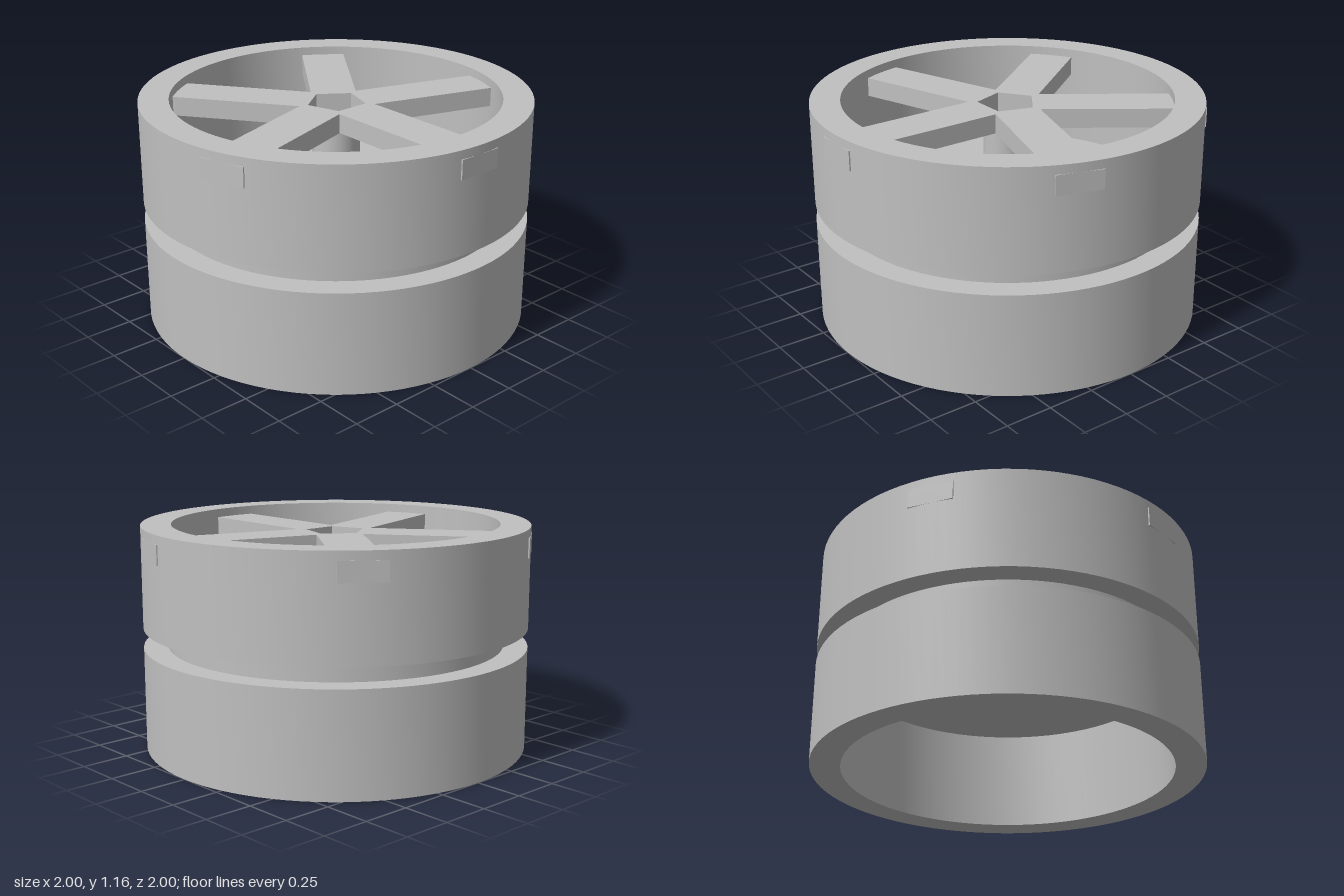
import * as THREE from 'three';
import { toCreasedNormals } from 'three/addons/utils/BufferGeometryUtils.js';

const SPOKES = 5;
const STEP = (Math.PI * 2) / SPOKES;

// Hollow cylinder with crisp edges, from y0 to y1
function ring(inner, outer, y0, y1, segments = 96) {
  const profile = [[inner, y0], [outer, y0], [outer, y1], [inner, y1], [inner, y0]]
    .map(([r, y]) => new THREE.Vector2(r, y));
  return toCreasedNormals(new THREE.LatheGeometry(profile, segments), 0.6);
}

// Five straight spokes in one outline, with a pentagonal socket in the middle
function spokeGeometry(halfWidth, reach, socket, thickness) {
  const shape = new THREE.Shape();
  const hole = new THREE.Path();
  const notch = halfWidth / Math.sin(STEP / 2);
  const corner = socket / Math.cos(STEP / 2);
  const outline = [];
  const pentagon = [];
  for (let i = 0; i < SPOKES; i++) {
    const a = i * STEP, c = Math.cos(a), s = Math.sin(a), b = a + STEP / 2;
    outline.push(
      new THREE.Vector2(reach * c + halfWidth * s, reach * s - halfWidth * c),
      new THREE.Vector2(reach * c - halfWidth * s, reach * s + halfWidth * c),
      new THREE.Vector2(notch * Math.cos(b), notch * Math.sin(b)));
    pentagon.push(new THREE.Vector2(corner * Math.cos(b), corner * Math.sin(b)));
  }
  shape.setFromPoints(outline);
  hole.setFromPoints(pentagon);
  shape.holes.push(hole);
  const geometry = new THREE.ExtrudeGeometry(shape, { depth: thickness, bevelEnabled: false });
  return geometry.rotateX(-Math.PI / 2);
}

export function createModel() {
  const model = new THREE.Group();
  model.name = 'wheel';
  const grey = new THREE.MeshStandardMaterial({ color: 0xc0c0c0 });
  grey.name = 'grey';

  const add = (name, geometry, y = 0) => {
    const mesh = new THREE.Mesh(geometry, grey);
    mesh.name = name;
    mesh.position.y = y;
    model.add(mesh);
  };

  // Two wide rims separated by a groove
  add('lowerRim', ring(0.845, 1, 0, 0.535));
  add('upperRim', ring(0.845, 1, 0.635, 1.165));

  // Solid web that forms the groove floor
  add('web', ring(0.1, 0.875, 0.535, 0.635));

  // Bored hub running through the web up to the spokes
  add('hub', ring(0.067, 0.125, 0.465, 1.025, 48));

  // Spokes, whose square ends just break through the rim
  add('spokes', spokeGeometry(0.118, 1, 0.125, 0.1), 1.02);

  return model;
}
